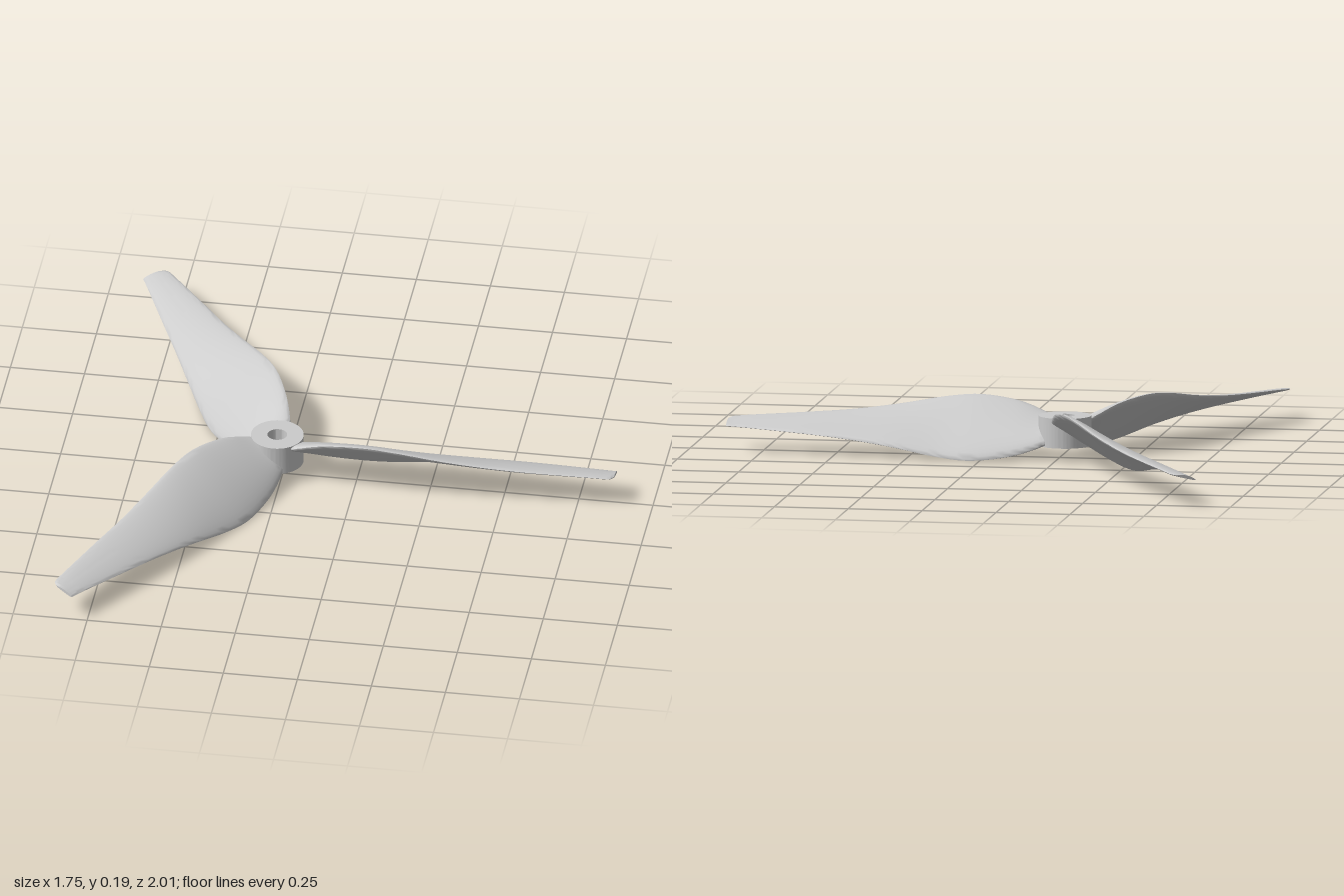
import * as THREE from 'three';
import { toCreasedNormals } from 'three/addons/utils/BufferGeometryUtils.js';

// Blade stations: radius, z and y of the low edge, z and y of the high edge, thickness
const STATIONS = [
  [0.045, -0.062, 0.065, 0.062, 0.135, 0.036],
  [0.08, -0.078, 0.048, 0.076, 0.15, 0.036],
  [0.17, -0.102, 0.021, 0.097, 0.181, 0.036],
  [0.30, -0.119, 0.006, 0.113, 0.197, 0.035],
  [0.42, -0.115, 0.016, 0.111, 0.187, 0.032],
  [0.57, -0.103, 0.043, 0.098, 0.161, 0.028],
  [0.72, -0.088, 0.063, 0.083, 0.141, 0.023],
  [0.87, -0.073, 0.076, 0.070, 0.129, 0.019],
  [1.05, -0.053, 0.087, 0.050, 0.118, 0.014],
  [1.105, -0.047, 0.090, 0.044, 0.114, 0.012],
  [1.128, -0.045, 0.091, 0.038, 0.112, 0.011],
  [1.14, -0.044, 0.091, 0.020, 0.109, 0.010],
];

// Smooth interpolation of every station column
function sampleStation(t) {
  const f = t * (STATIONS.length - 1);
  const i = Math.min(Math.floor(f), STATIONS.length - 2);
  const u = f - i;
  const at = (k) => STATIONS[THREE.MathUtils.clamp(k, 0, STATIONS.length - 1)];
  return STATIONS[0].map((_, c) => {
    const [a, b, d, e] = [at(i - 1)[c], at(i)[c], at(i + 1)[c], at(i + 2)[c]];
    return b + 0.5 * u * (d - a + u * (2 * a - 5 * b + 4 * d - e + u * (3 * (b - d) + e - a)));
  });
}

// Twisted blade lofted from slightly cambered lens sections
function bladeGeometry(rows = 55, ring = 32) {
  const pos = [];
  const index = [];
  for (let i = 0; i <= rows; i++) {
    const [r, z0, y0, z1, y1, thick] = sampleStation(i / rows);
    const chord = Math.hypot(z1 - z0, y1 - y0);
    const nz = -(y1 - y0) / chord;
    const ny = (z1 - z0) / chord;
    for (let j = 0; j < ring; j++) {
      const a = (j / ring) * Math.PI * 2;
      const s = 0.5 + 0.5 * Math.cos(a);
      const camber = 0.2 * thick * Math.sin(a) ** 2;
      const off = 0.5 * thick * Math.sin(a) + camber;
      pos.push(r, y0 + (y1 - y0) * s + ny * off, z0 + (z1 - z0) * s + nz * off);
    }
  }
  for (let i = 0; i < rows; i++) {
    for (let j = 0; j < ring; j++) {
      const k = (j + 1) % ring;
      const a = i * ring + j, b = a + ring, c = i * ring + k, d = c + ring;
      index.push(a, b, c, b, d, c);
    }
  }
  // Root and tip caps
  const tip = rows * ring;
  for (let j = 1; j < ring - 1; j++) {
    index.push(0, j, j + 1);
    index.push(tip, tip + j + 1, tip + j);
  }
  const geo = new THREE.BufferGeometry();
  geo.setAttribute('position', new THREE.Float32BufferAttribute(pos, 3));
  geo.setIndex(index);
  return toCreasedNormals(geo, 0.8);
}

// Round hub with a shaft hole
function hubGeometry() {
  const disc = new THREE.Shape().absarc(0, 0, 0.088, 0, Math.PI * 2, false);
  disc.holes.push(new THREE.Path().absarc(0, 0, 0.033, 0, Math.PI * 2, true));
  const geo = new THREE.ExtrudeGeometry(disc, { depth: 0.1, bevelEnabled: false, curveSegments: 48 });
  geo.rotateX(-Math.PI / 2);
  geo.translate(0, 0.05, 0);
  return toCreasedNormals(geo, 0.6);
}

export function createModel() {
  const model = new THREE.Group();
  model.name = 'propeller';
  const material = new THREE.MeshStandardMaterial({ color: 0xcccccc });

  const rotor = new THREE.Group();
  rotor.name = 'rotor';
  rotor.position.set(-0.27, 0, -0.01);
  model.add(rotor);

  const hub = new THREE.Mesh(hubGeometry(), material);
  hub.name = 'hub';
  rotor.add(hub);

  // Three equal blades around the hub
  const geo = bladeGeometry();
  for (let i = 0; i < 3; i++) {
    const blade = new THREE.Mesh(geo, material);
    blade.name = `blade${i + 1}`;
    blade.rotation.y = (i * Math.PI * 2) / 3;
    rotor.add(blade);
  }
  return model;
}
